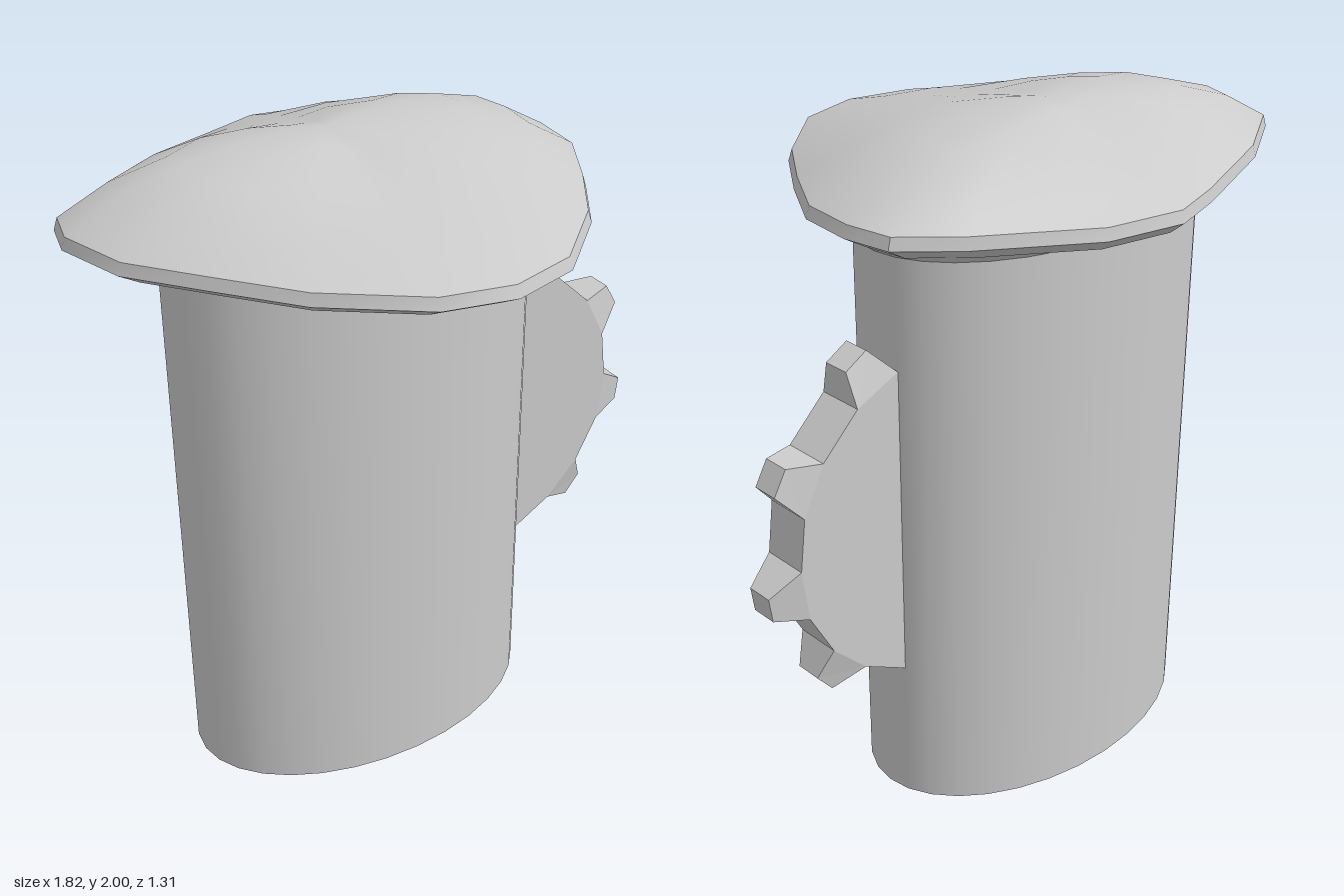
import * as THREE from 'three';
import { toCreasedNormals } from 'three/addons/utils/BufferGeometryUtils.js';

const CX = -0.09, CZ = -0.13; // axis of the oval post

// Cap rim seen from above, as x, z
const RIM = [
  [-0.88, -0.32], [-0.64, -0.47], [-0.28, -0.61], [-0.11, -0.66], [0.12, -0.61], [0.42, -0.41],
  [0.56, -0.28], [0.585, -0.14], [0.57, 0.03], [0.46, 0.22], [0.33, 0.41], [0.12, 0.6],
  [-0.08, 0.65], [-0.28, 0.6], [-0.53, 0.41], [-0.7, 0.2], [-0.85, 0.01], [-0.91, -0.2],
];

// Gear teeth, each as root, tip, tip, root in x, y
const TEETH = [
  [[0.47, 1.41], [0.55, 1.49], [0.62, 1.45], [0.61, 1.35]],
  [[0.73, 1.235], [0.83, 1.245], [0.87, 1.175], [0.8, 1.095]],
  [[0.82, 0.94], [0.91, 0.88], [0.9, 0.805], [0.8, 0.78]],
  [[0.725, 0.64], [0.765, 0.55], [0.715, 0.49], [0.615, 0.53]],
];

// Skin between stacked rings of equal length, listed bottom to top
function loft(rings) {
  const n = rings[0].length, index = [];
  for (let r = 0; r < rings.length - 1; r++) {
    for (let i = 0; i < n; i++) {
      const a = r * n + i, b = r * n + (i + 1) % n;
      index.push(a, a + n, b, b, a + n, b + n);
    }
  }
  const g = new THREE.BufferGeometry();
  g.setAttribute('position', new THREE.Float32BufferAttribute(rings.flat(2), 3));
  g.setIndex(index);
  return toCreasedNormals(g, 0.6);
}

// Slab of the gear's thickness from an x, y outline
function slab(points) {
  const shape = new THREE.Shape(points.map(([x, y]) => new THREE.Vector2(x, y)));
  return new THREE.ExtrudeGeometry(shape, { depth: 0.14, bevelEnabled: false }).translate(0, 0, -0.07);
}

export function createModel() {
  const model = new THREE.Group();
  const grey = new THREE.MeshStandardMaterial({ color: 0xcccccc });
  const flat = new THREE.MeshStandardMaterial({ color: 0xcccccc, flatShading: true });
  const add = (name, geometry, material = grey, parent = model) => {
    const mesh = new THREE.Mesh(geometry, material);
    mesh.name = name;
    parent.add(mesh);
    return mesh;
  };

  // Oval post and the flared collar under the cap
  const oval = (top, bottom, h, y) =>
    new THREE.CylinderGeometry(top, bottom, h, 32).scale(0.57, 1, 0.36).translate(CX, y, CZ);
  add('post', oval(1, 1, 1.74, 0.87));
  add('collar', oval(1.06, 1.0, 0.025, 1.7475));

  // Cap: flat underside, bevelled rim, then a dome with a ridge running along x
  const AX = -0.16, AZ = -0.12;
  const ring = (s, height) => RIM.map(([x, z]) => {
    const dx = x - AX, dz = z - AZ;
    return [AX + s * dx, height(dx * dx / (dx * dx + dz * dz)), AZ + s * dz];
  });
  const rings = [ring(0, () => 1.76), ring(0.91, () => 1.76), ring(1, () => 1.8)];
  for (const s of [1, 0.8, 0.58, 0.36, 0.16, 0]) {
    rings.push(ring(s === 1 ? 0.985 : s, (along) => 1.835 + 0.165 * (1 - s ** (1.15 + 1.95 * along))));
  }
  add('cap', loft(rings));

  // Half-sunk gear on the side: core plus teeth that narrow toward their tips
  const gear = new THREE.Group();
  gear.name = 'gear';
  gear.position.z = CZ;
  model.add(gear);
  const roots = TEETH.flatMap((t) => [t[0], t[3]]);
  add('gearCore', slab([[0.4, 0.45], [0.4, 1.41], ...roots, [0.47, 0.45]]), flat, gear);
  for (const tooth of TEETH) {
    const g = slab(tooth), p = g.attributes.position;
    const isTip = (x, y) => tooth.slice(1, 3).some(([tx, ty]) => Math.hypot(x - tx, y - ty) < 1e-3);
    for (let i = 0; i < p.count; i++) {
      if (isTip(p.getX(i), p.getY(i))) p.setZ(i, p.getZ(i) * 0.57);
    }
    g.computeVertexNormals();
    add('gearTooth', g, flat, gear);
  }
  return model;
}
